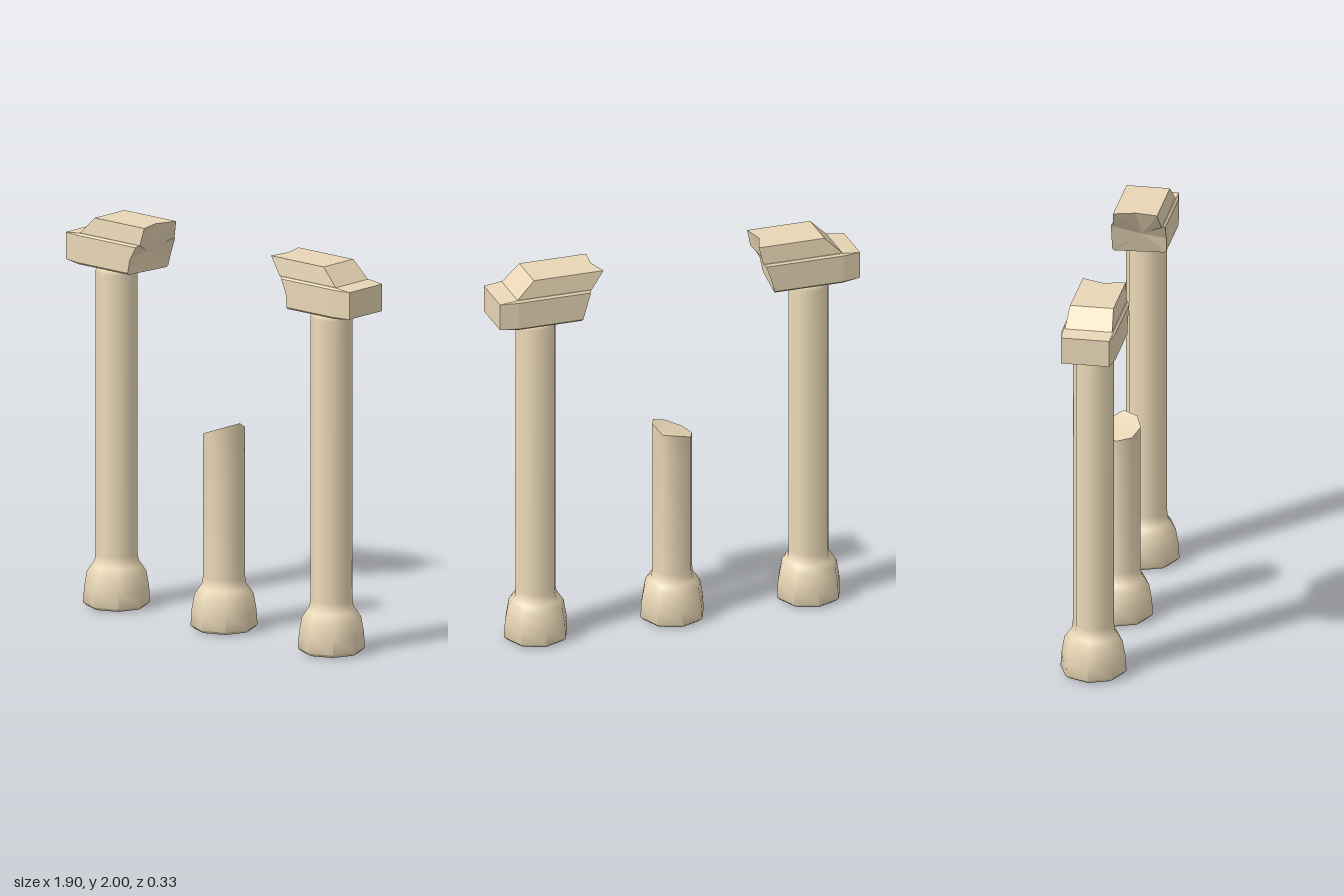
import * as THREE from 'three';
import { toCreasedNormals } from 'three/addons/utils/BufferGeometryUtils.js';

const smooth = new THREE.MeshStandardMaterial({ color: 0xe8d6b5 });
const faceted = new THREE.MeshStandardMaterial({ color: 0xe8d6b5, flatShading: true });

// Flared foot and straight shaft, shared by every column
const FOOT = [[0, 0], [0.15, 0.005], [0.167, 0.02], [0.162, 0.1], [0.148, 0.18],
  [0.125, 0.215], [0.11, 0.235], [0.105, 0.27]];

function columnGeometry(top) {
  const points = [...FOOT, ...top].map(([r, y]) => new THREE.Vector2(r, y));
  return new THREE.LatheGeometry(points, 8);
}

// Half cross-section of the lintel, front side from bottom to top: [z, y]
const HALF = [[0.125, 1.75], [0.135, 1.76], [0.135, 1.83], [0.135, 1.9], [0.125, 1.91], [0.12, 1.91], [0.11, 2]];
const SECTION = [...HALF, [0, 2], ...HALF.map(([z, y]) => [-z, y]).reverse()];

// Lintel stub lofted along x from its bevelled outer end to a ragged break
function lintelGeometry(side, breakX, dent) {
  const clamp = THREE.MathUtils.clamp;
  const rings = [
    SECTION.map(([z, y]) => [0.95, clamp(y, 1.762, 1.9), clamp(z, -0.122, 0.122)]),
    SECTION.map(([z, y]) => [0.857, Math.min(y, 1.91), y > 1.95 && z ? Math.sign(z) * 0.12 : z]),
    SECTION.map(([z, y]) => [0.767, y, z]),
    SECTION.map(([z, y], i) => [breakX[i], y, z]),
  ];
  const n = SECTION.length;
  const vertices = [...rings.flat(), [0.95, 1.83, 0], [dent, 1.86, 0.02]];
  const index = [];
  const tri = (a, b, c) => (side > 0 ? index.push(a, b, c) : index.push(a, c, b));
  for (let i = 0; i < n; i++) {
    const j = (i + 1) % n;
    for (let r = 0; r < 3; r++) {
      tri(r * n + i, r * n + j, (r + 1) * n + j);
      tri(r * n + i, (r + 1) * n + j, (r + 1) * n + i);
    }
    tri(4 * n, j, i); // outer end
    tri(4 * n + 1, 3 * n + i, 3 * n + j); // broken end
  }
  const geometry = new THREE.BufferGeometry();
  geometry.setAttribute('position', new THREE.Float32BufferAttribute(
    vertices.flatMap(([x, y, z]) => [x * side, y, z]), 3));
  geometry.setIndex(index);
  const flat = geometry.toNonIndexed();
  flat.computeVertexNormals();
  return flat;
}

export function createModel() {
  const group = new THREE.Group();
  const add = (name, geometry, material, x = 0) => {
    const mesh = new THREE.Mesh(geometry, material);
    mesh.name = name;
    mesh.position.x = x;
    group.add(mesh);
  };

  // Two tall outer columns
  const tall = toCreasedNormals(
    columnGeometry([[0.105, 1.715], [0.102, 1.735], [0.09, 1.75], [0, 1.752]]), 0.9);
  add('leftColumn', tall, smooth, 0.72);
  add('rightColumn', tall, smooth, -0.72);

  // Broken middle column: slanted rim with a chipped corner and a hollow centre
  const stump = columnGeometry([[0.105, 0.9], [0.105, 1.03], [0, 1.02]]);
  const p = stump.attributes.position;
  for (let i = 0; i < p.count; i++) {
    if (p.getY(i) < 1) continue;
    const x = p.getX(i), z = p.getZ(i);
    const chip = x > 0.05 && z < -0.05 ? 0.025 : 0;
    p.setY(i, p.getY(i) + 0.38 * x - chip);
  }
  add('brokenColumn', toCreasedNormals(stump, 0.9), smooth);

  // Broken lintel stubs; break positions run front bottom, over the top, to back bottom
  add('leftLintel', lintelGeometry(1,
    [0.54, 0.54, 0.535, 0.505, 0.49, 0.48, 0.415, 0.43, 0.4, 0.465, 0.47, 0.475, 0.495, 0.515, 0.52],
    0.5), faceted);
  add('rightLintel', lintelGeometry(-1,
    [0.525, 0.525, 0.51, 0.47, 0.46, 0.455, 0.435, 0.46, 0.42, 0.44, 0.445, 0.45, 0.475, 0.495, 0.497],
    0.5), faceted);

  return group;
}
